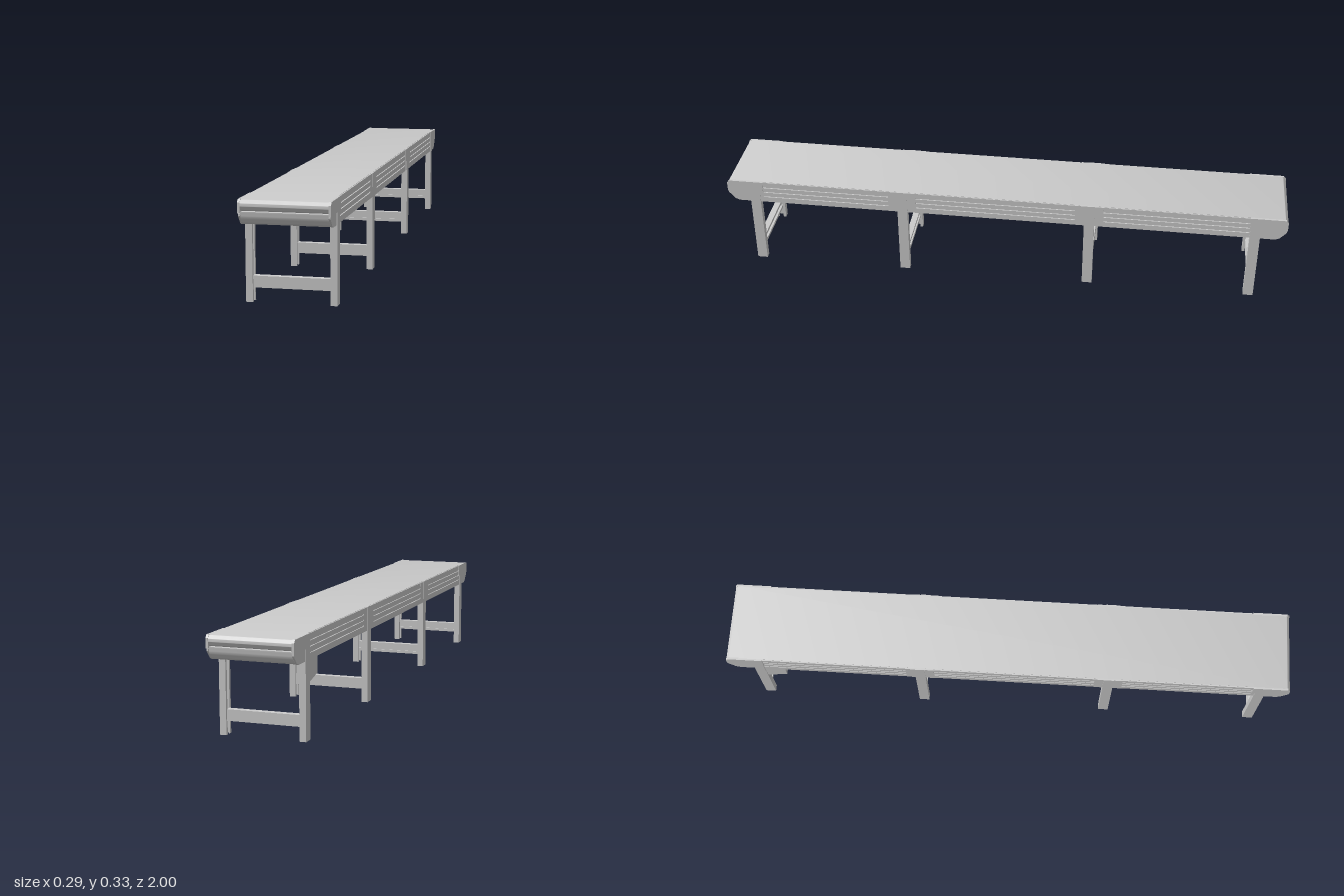
import * as THREE from 'three';
import { toCreasedNormals } from 'three/addons/utils/BufferGeometryUtils.js';

const material = new THREE.MeshStandardMaterial({ color: 0xcccccc });
const TOP = 0.332, BASE = 0.25;
const LEG_Z = [0.9, 0.36, -0.31, -0.89];

const polygon = (points) => new THREE.Shape(points.map(([x, y]) => new THREE.Vector2(x, y)));

function extrude(shape, depth) {
  return toCreasedNormals(
    new THREE.ExtrudeGeometry(shape, { depth, bevelEnabled: false, curveSegments: 16 }), 0.6);
}

// Side profile drawn in (z, y), swept across x from x0 to x1
function acrossX(shape, x0, x1) {
  return extrude(shape, x1 - x0).rotateY(-Math.PI / 2).translate(x1, 0, 0);
}

// Lipped channel section: web at x = 0, open towards -x
function channel(width, depth, t, lip) {
  const h = width / 2;
  return polygon([
    [0, -h], [0, h], [-depth, h], [-depth, h - lip], [-depth + t, h - lip], [-depth + t, h - t],
    [-t, h - t], [-t, -h + t], [-depth + t, -h + t], [-depth + t, -h + lip], [-depth, -h + lip], [-depth, -h],
  ]);
}

export function createModel() {
  const model = new THREE.Group();
  const add = (name, geometry, parent = model) => {
    const mesh = new THREE.Mesh(geometry, material);
    mesh.name = name;
    parent.add(mesh);
    return mesh;
  };

  // Belt with rounded noses and a thin bed between them
  const r = 0.0185, c = TOP - r, nose = 1 - r;
  const belt = new THREE.Shape();
  belt.moveTo(-nose, TOP);
  belt.lineTo(nose, TOP);
  belt.absarc(nose, c, r, Math.PI / 2, -Math.PI / 2, true);
  belt.lineTo(0.92, c - r);
  belt.lineTo(0.69, 0.318);
  belt.lineTo(-0.9, 0.318);
  belt.lineTo(-0.92, c - r);
  belt.lineTo(-nose, c - r);
  belt.absarc(-nose, c, r, -Math.PI / 2, -Math.PI * 1.5, true);
  add('belt', acrossX(belt, -0.138, 0.138));

  // Both ends: curved guard under the nose, and two-part side plates
  const guard = new THREE.Shape();
  guard.moveTo(0.91, 0.294);
  guard.lineTo(0.994, 0.294);
  guard.bezierCurveTo(0.994, 0.27, 0.98, 0.251, 0.955, 0.251);
  guard.lineTo(0.91, 0.251);
  const upperPlate = polygon([[0.87, 0.289], [1, 0.289], [1, 0.322], [0.992, TOP], [0.87, TOP]]);
  const lowerPlate = polygon([[0.87, BASE], [0.96, BASE], [0.975, 0.256], [0.998, 0.282], [0.998, 0.288], [0.87, 0.288]]);
  for (const turn of [0, Math.PI]) {
    const end = new THREE.Group();
    end.name = turn ? 'backEnd' : 'frontEnd';
    end.rotation.y = turn;
    model.add(end);
    add('noseGuard', acrossX(guard, -0.137, 0.137), end);
    for (const [x0, x1] of [[0.136, 0], [0, -0.136]]) {
      const left = x0 > 0;
      add('upperEndPlate', acrossX(upperPlate, left ? x0 : -0.144, left ? 0.144 : x1), end);
      add('lowerEndPlate', acrossX(lowerPlate, left ? x0 : -0.142, left ? 0.142 : x1), end);
    }
  }

  // Side rail section with three grooves outside and a small lip inside
  const railPoints = [[0.135, TOP - 0.001], [0.135, 0.255], [0.13, 0.255], [0.13, BASE], [0.142, BASE]];
  for (const y of [0.27, 0.289, 0.308]) {
    railPoints.push([0.142, y], [0.138, y], [0.138, y + 0.005], [0.142, y + 0.005]);
  }
  railPoints.push([0.142, TOP - 0.001]);
  const railGeometry = extrude(polygon(railPoints), 1.76).translate(0, 0, -0.88);
  const legGeometry = extrude(channel(0.036, 0.022, 0.004, 0.01), BASE).rotateX(-Math.PI / 2);

  for (const side of [1, -1]) {
    const rail = add(side > 0 ? 'leftRail' : 'rightRail', railGeometry);
    rail.rotation.y = side > 0 ? 0 : Math.PI;

    LEG_Z.forEach((z, i) => {
      // Channel leg, open inwards, with a strap running up over the rail
      const leg = add('leg', legGeometry);
      leg.position.set(side * 0.144, 0, z);
      leg.rotation.y = side > 0 ? 0 : Math.PI;
      const strap = add('legStrap', new THREE.BoxGeometry(0.006, TOP - BASE, 0.036));
      strap.position.set(side * 0.141, (TOP + BASE) / 2, z);
      // Joint plates at the middle legs
      if (i === 1 || i === 2) {
        const plate = add('railJointPlate', new THREE.BoxGeometry(0.005, TOP - BASE - 0.001, 0.1));
        plate.position.set(side * 0.1405, (TOP + BASE) / 2, z);
      }
    });
  }

  // Channel crossbars, open towards the middle of the conveyor
  const barGeometry = extrude(channel(0.037, 0.022, 0.004, 0.01), 0.246)
    .rotateY(-Math.PI / 2).translate(0.123, 0, 0);
  for (const z of LEG_Z) {
    const facing = Math.sign(z);
    const bar = add('crossbar', barGeometry);
    bar.position.set(0, 0.0635, z + facing * 0.012);
    bar.rotation.y = facing > 0 ? 0 : Math.PI;
  }

  // Control box hanging under the right rail near the back
  const box = polygon([[-0.8, 0.26], [-0.8, 0.196], [-0.865, 0.181], [-0.89, 0.181], [-0.89, 0.26]]);
  add('controlBox', acrossX(box, -0.141, -0.108));

  return model;
}
